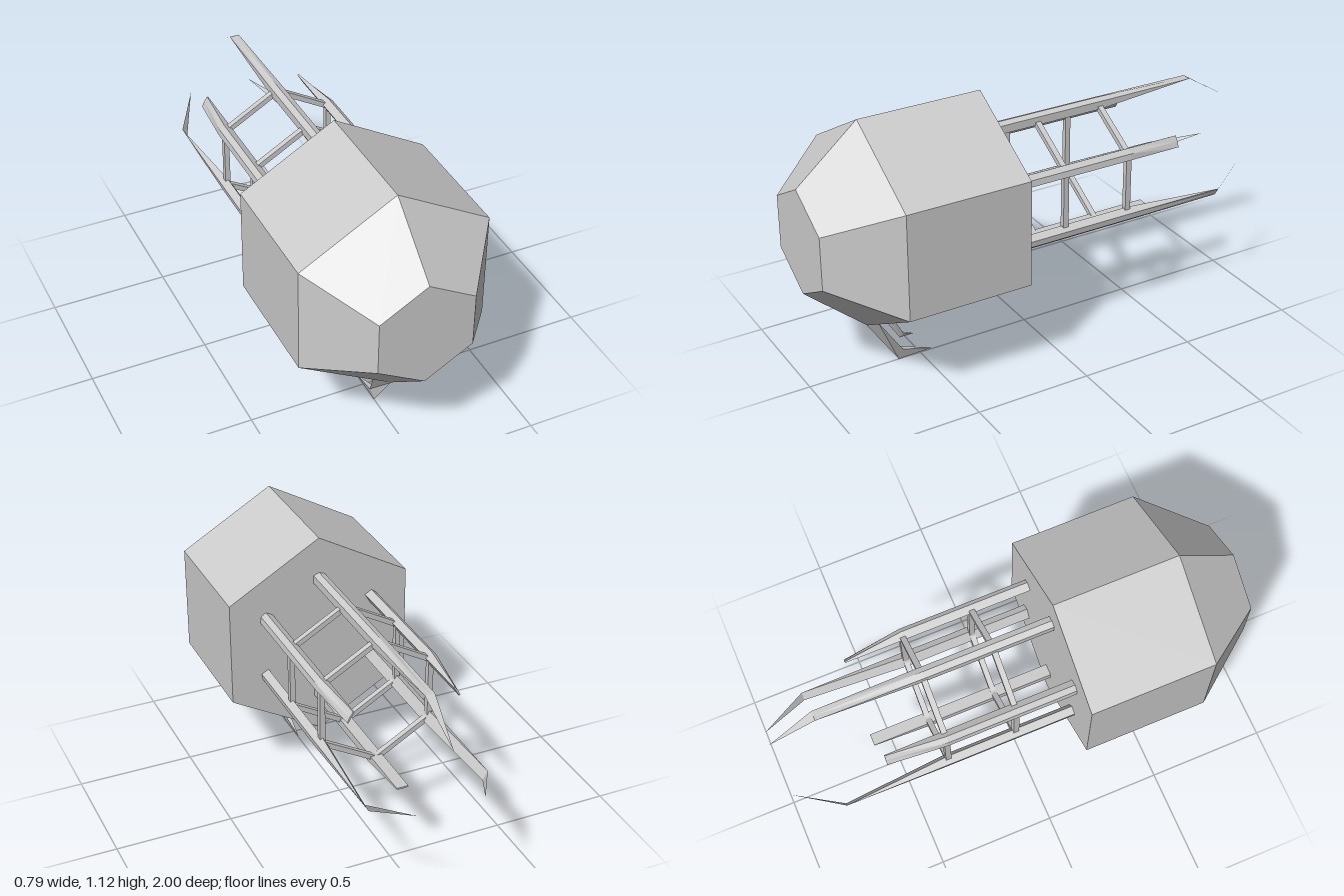
import * as THREE from 'three';

const CENTER_Y = 0.665;
const grey = new THREE.MeshStandardMaterial({ color: 0xcccccc, flatShading: true, side: THREE.DoubleSide });

// Skins a list of rings (each a list of [x, y, z]) and caps both ends, with hard edges
function loft(rings) {
  const pos = [];
  const tri = (...corners) => {
    const [a, b, c] = corners.map((p) => new THREE.Vector3(...p));
    if (b.clone().sub(a).cross(c.clone().sub(a)).length() > 1e-7) pos.push(...corners.flat());
  };
  const n = rings[0].length;
  for (let i = 0; i < rings.length - 1; i++) {
    for (let j = 0; j < n; j++) {
      const k = (j + 1) % n;
      const a = rings[i][j], b = rings[i][k], c = rings[i + 1][k], d = rings[i + 1][j];
      tri(a, d, b);
      tri(b, d, c);
    }
  }
  const first = rings[0], last = rings[rings.length - 1];
  for (let j = 1; j < n - 1; j++) {
    tri(first[0], first[j], first[j + 1]);
    tri(last[0], last[j + 1], last[j]);
  }
  const geo = new THREE.BufferGeometry();
  geo.setAttribute('position', new THREE.Float32BufferAttribute(pos, 3));
  geo.computeVertexNormals();
  return geo;
}

function part(name, geo, parent) {
  const mesh = new THREE.Mesh(geo, grey);
  mesh.name = name;
  parent.add(mesh);
  return mesh;
}

// Hexagon with a corner pointing up
const hexRing = (r, z) => Array.from({ length: 6 }, (_, i) => {
  const a = Math.PI / 6 + (i * Math.PI) / 3;
  return [r * Math.cos(a), r * Math.sin(a), z];
});

// Rod section: flat inside, slightly ridged outside; y is the distance from the axis
const rodRing = (w, inner, shoulder, ridge, z) => [
  [w, inner, z], [w, shoulder, z], [0, ridge, z], [-w, shoulder, z], [-w, inner, z],
];

function rod(isClaw) {
  const rings = [0.2, -0.35].map((z) => rodRing(0.025, 0.255, 0.29, 0.3, z));
  rings.push(isClaw ? rodRing(0.021, 0.29, 0.29, 0.29, -0.8) : rodRing(0.025, 0.255, 0.261, 0.263, -0.6));
  return loft(rings);
}

// Thin blade bending in towards the axis
function clawTip() {
  const geo = new THREE.BufferGeometry();
  geo.setAttribute('position', new THREE.Float32BufferAttribute(
    [-0.021, 0.29, -0.8, 0.021, 0.29, -0.8, 0, 0.162, -1], 3));
  geo.computeVertexNormals();
  return geo;
}

// Three-sided leg: root, ankle, then a pointed toe; points are [y, z]
function leg(width, ankleWidth, rootFront, rootBack, heel, ankle, toe) {
  const ring = (w, [yf, zf], [yb, zb]) => [[0, yf, zf], [w, yb, zb], [-w, yb, zb]];
  return loft([ring(width, rootFront, rootBack), ring(ankleWidth, heel, ankle), ring(0, toe, toe)]);
}

export function createModel() {
  const model = new THREE.Group();
  model.name = 'hexagonalPod';

  // Hull and rear frame share one axis
  const axis = new THREE.Group();
  axis.name = 'hullAndFrame';
  axis.position.y = CENTER_Y;
  model.add(axis);
  part('hull', loft([hexRing(0.229, 1), hexRing(0.458, 0.735), hexRing(0.458, 0.2)]), axis);

  // Six rods, every second one a long claw, tied by two rings of crossbars
  for (let i = 0; i < 6; i++) {
    const arm = new THREE.Group();
    const isClaw = i % 2 === 0;
    arm.name = isClaw ? 'longClaw' : 'shortRod';
    arm.rotation.z = (i * Math.PI) / 3;
    axis.add(arm);
    part('rod', rod(isClaw), arm);
    if (isClaw) part('clawTip', clawTip(), arm);

    const side = new THREE.Group();
    side.name = 'crossbars';
    side.rotation.z = ((i + 0.5) * Math.PI) / 3;
    axis.add(side);
    for (const z of [-0.052, -0.35]) {
      part('crossbar', new THREE.BoxGeometry(0.265, 0.022, 0.024), side).position.set(0, 0.234, z);
    }
  }

  // Two legs under the nose, the smaller behind the larger
  part('frontLeg', leg(0.065, 0.013, [0.205, 0.735], [0.248, 0.715], [0, 0.6], [0.05, 0.585], [0.005, 0.445]), model);
  part('rearLeg', leg(0.03, 0.008, [0.205, 0.655], [0.228, 0.635], [0.103, 0.592], [0.122, 0.578], [0.103, 0.528]), model);

  return model;
}
